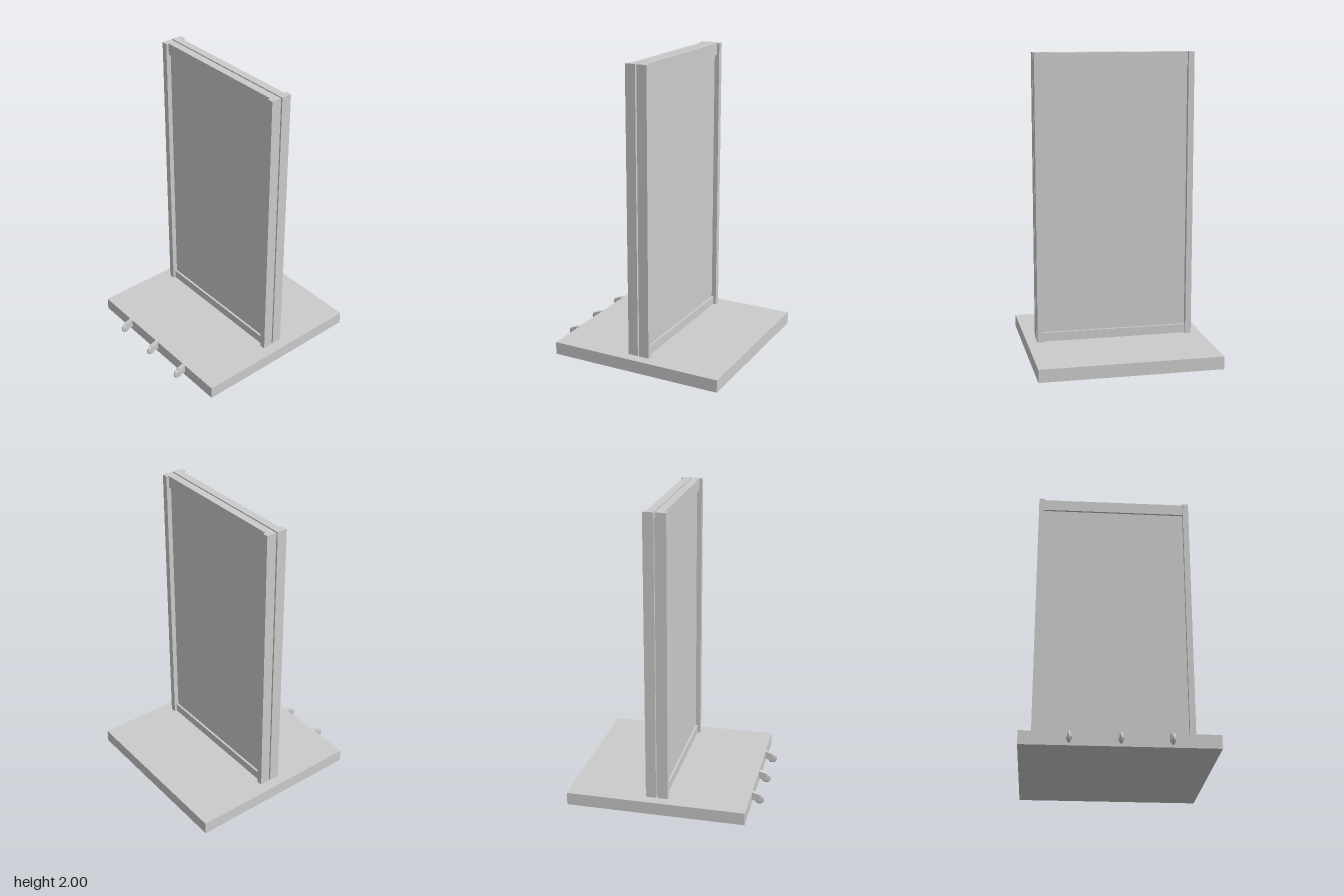
import * as THREE from 'three';

const material = new THREE.MeshStandardMaterial({ color: 0xcccccc, side: THREE.DoubleSide });

function add(parent, name, geometry, x = 0, y = 0, z = 0) {
  const mesh = new THREE.Mesh(geometry, material);
  mesh.name = name;
  mesh.position.set(x, y, z);
  parent.add(mesh);
  return mesh;
}

// Box given by its lower and upper limits on each axis
function block(parent, name, x0, x1, y0, y1, z0, z1) {
  return add(parent, name, new THREE.BoxGeometry(x1 - x0, y1 - y0, z1 - z0),
    (x0 + x1) / 2, (y0 + y1) / 2, (z0 + z1) / 2);
}

const BASE_TOP = 0.085;
const TOP = 2;

// One display face: posts, rails and a recessed panel; local z = 0 is its back
function makeFrame(name) {
  const frame = new THREE.Group();
  frame.name = name;
  block(frame, 'leftPost', 0.49, 0.53, BASE_TOP, TOP, 0, 0.069);
  block(frame, 'rightPost', -0.53, -0.49, BASE_TOP, TOP, 0, 0.069);
  block(frame, 'topRail', -0.49, 0.49, 1.92, TOP, 0, 0.051);
  block(frame, 'bottomRail', -0.49, 0.49, BASE_TOP, 0.145, 0, 0.051);
  block(frame, 'panel', -0.49, 0.49, 0.145, 1.92, 0, 0.036);
  return frame;
}

// Tilt wheel held between two tapering fork cheeks
function makeCaster() {
  const caster = new THREE.Group();
  caster.name = 'caster';

  const cheek = new THREE.Shape();
  cheek.moveTo(0, 0.083);
  cheek.lineTo(0.05, 0.068);
  cheek.absarc(0.05, 0.036, 0.016, Math.PI / 3, -Math.PI / 2, true);
  cheek.lineTo(0, 0.03);
  cheek.closePath();
  for (const side of [-1, 1]) {
    const geometry = new THREE.ExtrudeGeometry(cheek, { depth: 0.003, bevelEnabled: false, curveSegments: 8 });
    geometry.rotateY(-Math.PI / 2); // profile runs forward along +z
    add(caster, 'forkCheek', geometry, side * 0.0125 + 0.0015);
  }

  // Sloping cover joining the cheeks over the wheel
  const cover = new THREE.Shape([[0, 0.083], [0.05, 0.068], [0.05, 0.071], [0, 0.085]]
    .map(([z, y]) => new THREE.Vector2(z, y)));
  const coverGeometry = new THREE.ExtrudeGeometry(cover, { depth: 0.028, bevelEnabled: false });
  coverGeometry.rotateY(-Math.PI / 2);
  add(caster, 'forkCover', coverGeometry, 0.014);

  // Wheel with a rounded tread
  const tread = [[0, -0.01], [0.02, -0.01], [0.028, -0.009], [0.033, -0.005], [0.034, 0],
    [0.033, 0.005], [0.028, 0.009], [0.02, 0.01], [0, 0.01]].map(([r, x]) => new THREE.Vector2(r, x));
  const wheel = new THREE.LatheGeometry(tread, 32);
  wheel.rotateZ(Math.PI / 2);
  add(caster, 'wheel', wheel, 0, 0.036, 0.05);

  const axle = new THREE.CylinderGeometry(0.006, 0.006, 0.034, 16);
  axle.rotateZ(Math.PI / 2);
  add(caster, 'axle', axle, 0, 0.036, 0.05);
  return caster;
}

export function createModel() {
  const model = new THREE.Group();
  model.name = 'displayStand';

  block(model, 'base', -0.6, 0.6, 0, BASE_TOP, -0.64, 0.556);

  // Two frames back to back around a thin core board
  const front = makeFrame('frontFrame');
  front.position.z = -0.037;
  const back = makeFrame('backFrame');
  back.rotation.y = Math.PI;
  back.position.z = -0.047;
  model.add(front, back);
  block(model, 'coreBoard', -0.51, 0.51, BASE_TOP, 1.965, -0.047, -0.037);

  for (const x of [-0.303, 0, 0.303]) {
    const caster = makeCaster();
    caster.position.set(x, 0, 0.556);
    model.add(caster);
  }
  return model;
}
